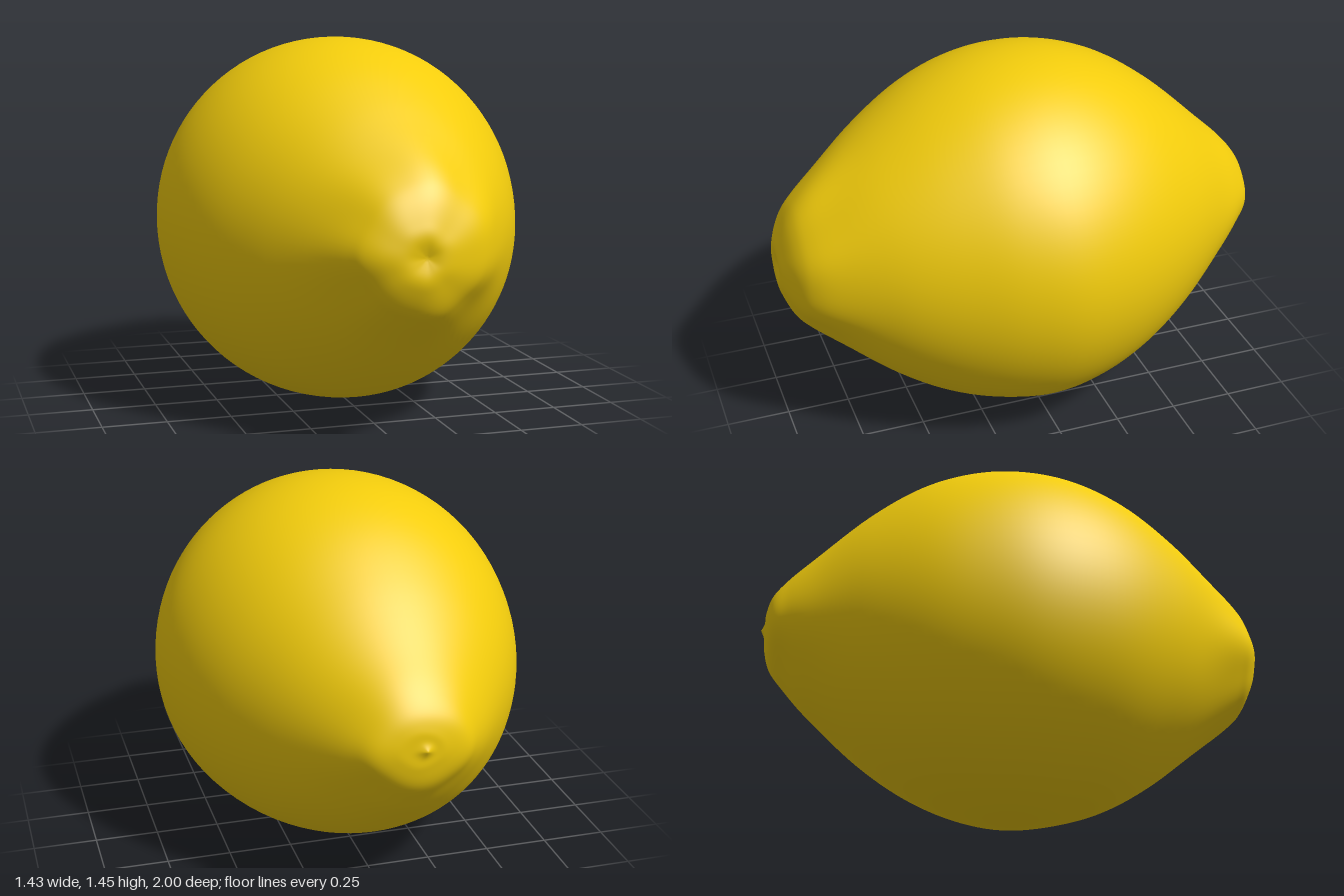
import * as THREE from 'three';
import { mergeVertices } from 'three/addons/utils/BufferGeometryUtils.js';

// Outline stations from blossom end to stem end: z, right x, left x, bottom y, top y
const STATIONS = [
  [0.985, 0.03, 0.03, 0.72, 0.72],
  [1.0, -0.05, 0.09, 0.65, 0.79],
  [0.985, -0.12, 0.16, 0.59, 0.85],
  [0.95, -0.18, 0.245, 0.52, 0.93],
  [0.9, -0.225, 0.305, 0.47, 0.995],
  [0.8, -0.31, 0.38, 0.385, 1.08],
  [0.6, -0.485, 0.515, 0.215, 1.23],
  [0.4, -0.615, 0.615, 0.09, 1.35],
  [0.2, -0.69, 0.688, 0.025, 1.425],
  [0, -0.717, 0.715, 0, 1.45],
  [-0.2, -0.695, 0.675, 0.025, 1.425],
  [-0.4, -0.635, 0.585, 0.095, 1.345],
  [-0.6, -0.525, 0.45, 0.215, 1.205],
  [-0.8, -0.37, 0.28, 0.385, 1.02],
  [-0.9, -0.285, 0.19, 0.49, 0.925],
  [-0.96, -0.225, 0.125, 0.565, 0.85],
  [-0.983, -0.14, 0.05, 0.64, 0.79],
  [-0.987, -0.09, -0.02, 0.685, 0.745],
  [-1.0, -0.06, -0.06, 0.715, 0.715],
];

const smoothCurve = (pick) =>
  new THREE.CatmullRomCurve3(STATIONS.map(pick), false, 'catmullrom', 0.5);

function createPeel() {
  const sides = 96, rows = (STATIONS.length - 1) * 6;
  const across = smoothCurve(([z, r, l]) => new THREE.Vector3(r, l, z));
  const upright = smoothCurve(([z, , , b, t]) => new THREE.Vector3(b, t, z));
  const positions = [], index = [];

  for (let i = 0; i <= rows; i++) {
    const h = across.getPoint(i / rows), v = upright.getPoint(i / rows);
    const cx = (h.x + h.y) / 2, rx = (h.y - h.x) / 2;
    const cy = (v.x + v.y) / 2, ry = (v.y - v.x) / 2;
    // Soft puckers that fade away from the two nipples
    const fade = THREE.MathUtils.smoothstep(Math.abs(h.z), 0.65, 0.93);
    for (let j = 0; j < sides; j++) {
      const a = (j / sides) * Math.PI * 2;
      const wave = h.z > 0
        ? 0.025 * Math.cos(4 * a) + 0.018 * Math.sin(7 * a + 5 * h.z)
        : 0.02 * Math.cos(4 * a) + 0.015 * Math.sin(5 * a + 4 * h.z);
      const k = 1 + fade * wave;
      positions.push(cx + rx * k * Math.cos(a), cy + ry * k * Math.sin(a), h.z);
    }
  }

  for (let i = 0; i < rows; i++) {
    for (let j = 0; j < sides; j++) {
      const n = (j + 1) % sides;
      const a = i * sides + j, c = i * sides + n;
      const b = a + sides, d = c + sides;
      if (i < rows - 1) index.push(b, d, c);
      if (i > 0) index.push(a, b, c);
      if (i === rows - 1) continue;
    }
  }

  const geometry = new THREE.BufferGeometry();
  geometry.setAttribute('position', new THREE.Float32BufferAttribute(positions, 3));
  geometry.setIndex(index);
  // Weld the end rings into single pole points
  const welded = mergeVertices(geometry, 1e-5);
  welded.computeVertexNormals();
  return welded;
}

export function createModel() {
  const group = new THREE.Group();
  group.name = 'lemon';
  const peel = new THREE.Mesh(createPeel(), new THREE.MeshStandardMaterial({ color: 0xf2cc0c }));
  peel.name = 'peel';
  group.add(peel);
  return group;
}
